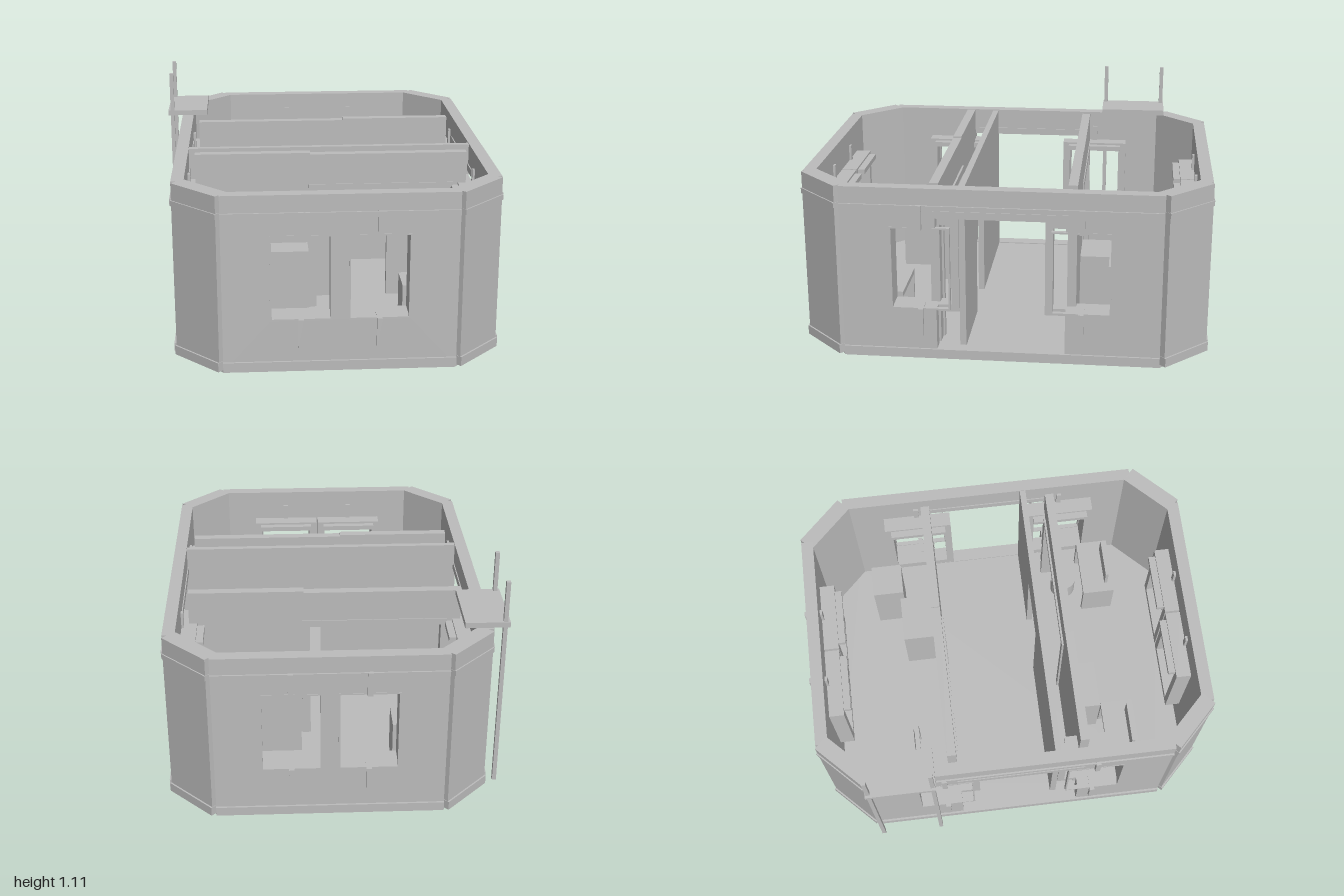
import * as THREE from 'three';

const CX = 0.025; // plan centre of the hut in x
const grey = new THREE.MeshStandardMaterial({ color: 0xbcbcbc });
grey.name = 'plain grey';

function mesh(parent, name, geometry) {
  const m = new THREE.Mesh(geometry, grey);
  m.name = name;
  parent.add(m);
  return m;
}

// Box given by its limits on each axis
function box(parent, name, x0, x1, y0, y1, z0, z1) {
  const m = mesh(parent, name, new THREE.BoxGeometry(x1 - x0, y1 - y0, z1 - z0));
  m.position.set((x0 + x1) / 2, (y0 + y1) / 2, (z0 + z1) / 2);
  return m;
}

const path = (pts, Type = THREE.Shape) => new Type(pts.map(p => new THREE.Vector2(...p)));
const rect = (x0, x1, y0, y1) => [[x0, y0], [x1, y0], [x1, y1], [x0, y1]];

// Upright slab with openings, from z0 to z1
function slab(parent, name, outline, holes, z0, z1) {
  const shape = path(outline);
  holes.forEach(h => shape.holes.push(path(h, THREE.Path)));
  const g = new THREE.ExtrudeGeometry(shape, { depth: z1 - z0, bevelEnabled: false });
  return mesh(parent, name, g.translate(0, 0, z0));
}

const WIN = { w: 0.138, y0: 0.27, y1: 0.675 };
const T = 0.06; // wall thickness

// Window surround; outer wall face is z = 0, inside is -z
function windowUnit(parent, x) {
  const g = new THREE.Group();
  g.name = 'window';
  g.position.x = x;
  const { w, y0, y1 } = WIN;
  slab(g, 'innerFrame', rect(-w - 0.037, w + 0.037, y0 - 0.035, y1 + 0.035),
    [rect(-w, w, y0, y1)], -T - 0.075, -T);
  slab(g, 'outerTrim', rect(-w - 0.004, w + 0.004, y0 - 0.004, y1 + 0.004),
    [rect(-w + 0.004, w - 0.004, y0 + 0.004, y1 - 0.004)], -0.02, 0.002);
  box(g, 'headLedge', -w - 0.006, w + 0.006, y1, y1 + 0.025, -T - 0.11, -T - 0.075);
  box(g, 'lowerBracket', -0.0125, 0.0125, 0.135, y0 + 0.004, -T - 0.012, 0.017);
  box(g, 'upperBracket', -0.0125, 0.0125, y1 - 0.004, 0.79, -T - 0.012, 0.017);
  parent.add(g);
}

// Straight wall with skirting, band and two windows
function wall(root, name, half, dist, angle, winX, hasDoor) {
  const g = new THREE.Group();
  g.name = name;
  g.position.set(CX + Math.sin(angle) * dist, 0, Math.cos(angle) * dist);
  g.rotation.y = angle;
  const { w, y0, y1 } = WIN;
  let holes = [-winX, winX].map(x => rect(x - w, x + w, y0, y1));
  if (hasDoor) {
    // doorway merging with the windows on both sides
    const d = 0.305, o = winX + w;
    holes = [[[-d, 0.065], [d, 0.065], [d, y0], [o, y0], [o, y1], [d, y1], [d, 0.73],
      [-d, 0.73], [-d, y1], [-o, y1], [-o, y0], [-d, y0]]];
    box(g, 'doorLintel', -0.315, 0.315, 0.73, 0.765, -T - 0.005, 0.012);
  }
  slab(g, 'wallPanel', rect(-half, half, 0.02, 0.87), holes, -T, 0);
  box(g, 'skirting', -half, half, 0.02, 0.065, -T, 0.01);
  box(g, 'band', -half, half, 0.762, 0.788, -T + 0.01, 0.008);
  [-winX, winX].forEach(x => windowUnit(g, x));
  root.add(g);
}

// Slanted panel closing a corner
function corner(root, sx, sz) {
  const g = new THREE.Group();
  g.name = 'cornerPanel';
  g.position.set(CX + sx * 0.661, 0, sz * 0.88);
  g.rotation.y = Math.atan2(sx, sz);
  box(g, 'panel', -0.145, 0.145, 0.02, 0.87, -0.08, 0);
  box(g, 'skirting', -0.147, 0.147, 0.02, 0.065, -0.05, 0.008);
  box(g, 'band', -0.147, 0.147, 0.762, 0.788, -0.05, 0.006);
  root.add(g);
}

// Octagonal floor layer
function floor(root, name, hx, hz, cut, y0, y1) {
  const pts = [[hx - cut, -hz], [hx, cut - hz], [hx, hz - cut], [hx - cut, hz],
    [cut - hx, hz], [-hx, hz - cut], [-hx, cut - hz], [cut - hx, -hz]];
  const g = new THREE.ExtrudeGeometry(path(pts), { depth: y1 - y0, bevelEnabled: false });
  g.rotateX(-Math.PI / 2);
  mesh(root, name, g).position.set(CX, y0, 0);
}

// Thick partition: a solid half and a half with a framed opening
function thickPartition(root, angle, z) {
  const g = new THREE.Group();
  g.name = 'partition';
  g.position.set(CX, 0, z);
  g.rotation.y = angle;
  box(g, 'solidHalf', -0.67, -0.105, 0.06, 0.876, -0.022, 0.022);
  slab(g, 'openHalf', [[-0.105, 0.06], [-0.075, 0.06], [-0.075, 0.68], [0.575, 0.68],
    [0.575, 0.06], [0.67, 0.06], [0.67, 0.868], [-0.105, 0.868]], [], -0.022, 0.022);
  slab(g, 'openingFrame', [[-0.115, 0.06], [-0.085, 0.06], [-0.085, 0.68], [0.575, 0.68],
    [0.575, 0.06], [0.605, 0.06], [0.605, 0.715], [-0.115, 0.715]], [], -0.032, 0.027);
  root.add(g);
}

// Desk with an upright screen
function desk(root, x, z0, screenZ) {
  const g = new THREE.Group();
  g.name = 'desk';
  box(g, 'deskTop', x - 0.153, x + 0.153, 0.27, 0.295, z0, z0 + 0.17);
  [-1, 1].forEach(s => box(g, 'deskSide', x + s * 0.143 - 0.01, x + s * 0.143 + 0.01,
    0.06, 0.27, z0, z0 + 0.17));
  box(g, 'screen', x - 0.103, x + 0.103, 0.295, 0.405, screenZ, screenZ + 0.016);
  root.add(g);
}

export function createModel() {
  const root = new THREE.Group();
  root.name = 'hut';

  // Floor
  floor(root, 'baseSlab', 0.738, 0.955, 0.2, 0, 0.02);
  floor(root, 'floorSlab', 0.735, 0.95, 0.2, 0.02, 0.06);

  // Outer shell
  wall(root, 'frontWall', 0.54, 0.98, 0, 0.18, false);
  wall(root, 'backWall', 0.54, 0.98, Math.PI, 0.18, false);
  wall(root, 'leftWall', 0.755, 0.765, Math.PI / 2, 0.38, true);
  wall(root, 'rightWall', 0.755, 0.765, -Math.PI / 2, 0.38, true);
  for (const sx of [-1, 1]) for (const sz of [-1, 1]) corner(root, sx, sz);

  // Inner walls
  thickPartition(root, 0, 0.322);
  thickPartition(root, Math.PI, -0.33);
  slab(root, 'corridorWall', [[-0.685, 0.06], [0.03, 0.06], [0.03, 0.6], [0.32, 0.6],
    [0.32, 0.06], [0.735, 0.06], [0.735, 0.866], [-0.685, 0.866]], [], 0.172, 0.202);

  // Furniture
  desk(root, -0.447, -0.665, -0.535);
  desk(root, -0.447, 0.49, 0.614);
  desk(root, 0.502, 0.49, 0.614);
  for (const [x, z] of [[-0.45, -0.75], [-0.45, 0.4], [0.5, 0.4]]) {
    mesh(root, 'stool', new THREE.CylinderGeometry(0.068, 0.068, 0.13, 32)).position.set(x, 0.125, z);
  }
  box(root, 'frontCabinet', -0.34, -0.095, 0.06, 0.41, 0.345, 0.475);
  box(root, 'backCabinet', 0.15, 0.39, 0.06, 0.41, -0.52, -0.355);
  box(root, 'chest', 0.415, 0.58, 0.06, 0.435, -0.66, -0.5);

  // Lookout platform on two posts
  box(root, 'platform', -0.815, -0.605, 0.88, 0.907, -0.76, -0.42);
  for (const z of [-0.745, -0.435]) box(root, 'post', -0.803, -0.783, 0.02, 1.11, z - 0.01, z + 0.01);

  return root;
}
